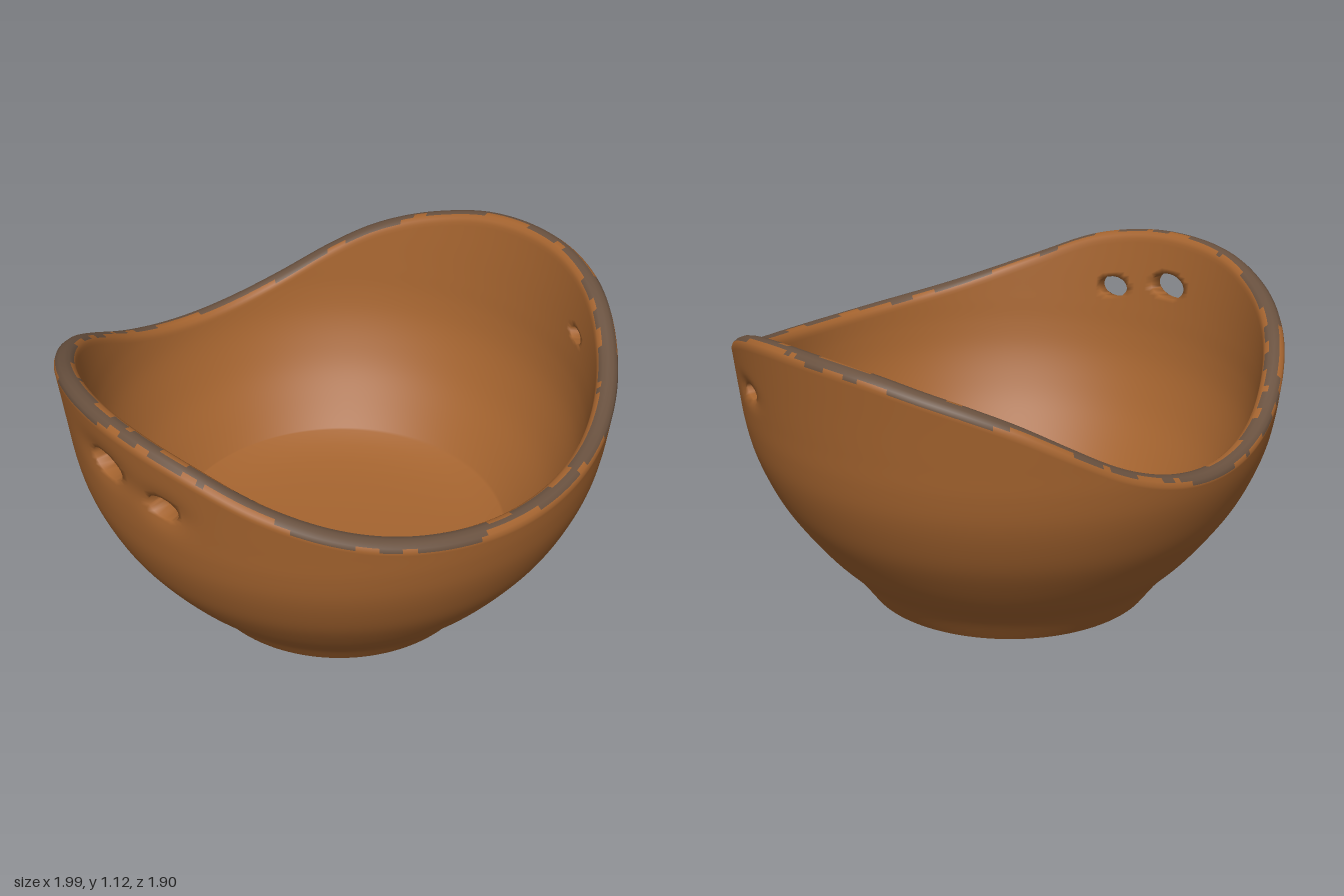
import * as THREE from 'three';

const N = 240;      // steps around
const ROWS = 72;    // steps up the wall
const ARC = 6;      // steps over the rounded rim
const THICK = 0.075;

// Smooth curve through a few [input, output] points
function curve(points) {
  const c = new THREE.CubicInterpolant(points.map(p => p[0]), points.map(p => p[1]), 1);
  return t => c.evaluate(t)[0];
}

// Outer radius by height
const radiusAt = curve([[0, 0.52], [0.1, 0.595], [0.2, 0.69], [0.3, 0.77], [0.4, 0.838], [0.5, 0.888],
  [0.6, 0.925], [0.7, 0.947], [0.8, 0.96], [0.95, 0.978], [1.12, 1.0]]);

// Rim height by front-to-back position: low at front and back, high at the sides
const peakAt = curve([[-1, 0.69], [-0.93, 0.76], [-0.83, 0.86], [-0.72, 0.945], [-0.6, 1.005], [-0.45, 1.055],
  [-0.28, 1.095], [0, 1.115], [0.2, 1.103], [0.4, 1.06], [0.62, 0.965], [0.86, 0.86], [1, 0.81]]);
const wallTop = a => peakAt(Math.cos(a)) - 0.03;

// Openings in the wall: angle, height, half width, half height
const holes = [
  [-0.95, 0.01, 0.91, 0.085, 0.052],
  [-0.92, 0.27, 0.865, 0.065, 0.045],
  [0.9, 0.355, 0.872, 0.052, 0.027],
].map(([x, z, y, w, h]) => ({ a: Math.atan2(x, z), y, w, h }));

function offset(hole, a, y) {
  let da = a - hole.a;
  da = Math.atan2(Math.sin(da), Math.cos(da));
  const u = da * 0.96 / hole.w, v = (y - hole.y) / hole.h;
  return { u, v, d: Math.hypot(u, v) };
}

// Wall surface points; the clay is pinched in around the openings
function outerPoint(a, y) {
  let r = radiusAt(y);
  for (const h of holes) r -= 0.022 * Math.exp(-0.5 * offset(h, a, y).d ** 2);
  return [r, y];
}
function innerPoint(a, y) {
  const v = y / wallTop(a);
  const yi = y + 0.2 * (1 - v) ** 2;
  return [radiusAt(yi) - THICK, yi];
}

function bowlGeometry() {
  const angle = i => i / N * Math.PI * 2 - Math.PI;
  const holeOfCell = (i, j) => {
    const a = angle(i + 0.5), y = wallTop(a) * (j + 0.5) / ROWS;
    return holes.find(h => offset(h, a, y).d < 1);
  };
  const isOpen = [];
  for (let i = 0; i < N; i++) {
    isOpen.push([]);
    for (let j = 0; j < ROWS; j++) isOpen[i].push(holeOfCell(i, j));
  }
  const openAt = (i, j) => isOpen[(i + N) % N][j];

  // Each column runs up the outside, over the rim, down the inside and across the floor
  const floor = [[0.55, 0.172], [0.47, 0.152], [0.36, 0.138], [0.2, 0.13], [0.08, 0.128], [0, 0.128]];
  const positions = [];
  let M = 0;
  for (let i = 0; i < N; i++) {
    const column = [], wall = [];
    const a0 = angle(i);
    for (let j = 0; j <= ROWS; j++) {
      let a = a0, y = wallTop(a0) * j / ROWS;
      const around = [openAt(i - 1, j - 1), openAt(i, j - 1), openAt(i - 1, j), openAt(i, j)];
      const hole = around.find(h => h);
      // Move edge points onto the oval outline
      if (hole && around.some(h => !h)) {
        const o = offset(hole, a, y);
        a = hole.a + o.u / o.d * hole.w / 0.96;
        y = hole.y + o.v / o.d * hole.h;
      }
      wall.push([a, y]);
    }
    for (const [a, y] of wall) column.push([a, ...outerPoint(a, y)]);
    const top = wallTop(a0), R = radiusAt(top);
    for (let k = 1; k < ARC; k++) {
      const t = k / ARC * Math.PI;
      column.push([a0, R - THICK / 2 + Math.cos(t) * THICK / 2, top + Math.sin(t) * 0.03]);
    }
    for (const [a, y] of wall.reverse()) column.push([a, ...innerPoint(a, y)]);
    for (const [r, y] of floor) column.push([a0, r, y]);
    M = column.length;
    for (const [a, r, y] of column) positions.push(r * Math.sin(a), y, r * Math.cos(a));
  }

  const id = (i, j) => ((i + N) % N) * M + j;
  const innerRow = j => 2 * ROWS + ARC - j;
  const clay = [], ash = [];
  const quad = (list, a, b, c, d) => list.push(a, b, c, a, c, d);

  for (let i = 0; i < N; i++) {
    // Uneven grey band along the rim
    const a = angle(i);
    const n1 = Math.sin(a * 5 + 1) + 0.7 * Math.sin(a * 13 + 2) + 0.4 * Math.sin(a * 41);
    const n2 = Math.sin(a * 4 + 4) + 0.6 * Math.sin(a * 17) + 0.4 * Math.sin(a * 37 + 1);
    const from = n1 > 0.7 ? 2 : n1 > -0.5 ? 1 : 0;
    const to = n2 > 0.6 ? 5 : n2 > -0.9 ? 4 : 3;

    for (let j = 0; j < M - 1; j++) {
      const k = j - ROWS;
      const row = j < ROWS ? j : innerRow(j) - 1;
      const open = (k < 0 || k >= ARC) && row >= 0 && openAt(i, row);
      if (open) continue;
      const list = k >= from && k < to ? ash : clay;
      quad(list, id(i, j), id(i + 1, j), id(i + 1, j + 1), id(i, j + 1));
    }

    // Join outside to inside around each opening
    for (let j = 0; j < ROWS; j++) {
      if (!openAt(i, j)) continue;
      const corners = [[i, j], [i + 1, j], [i + 1, j + 1], [i, j + 1]];
      const next = [openAt(i, j - 1), openAt(i + 1, j), openAt(i, j + 1), openAt(i - 1, j)];
      corners.forEach(([p, q], e) => {
        if (next[e]) return;
        const [s, t] = corners[(e + 1) % 4];
        quad(clay, id(p, q), id(s, t), id(s, innerRow(t)), id(p, innerRow(q)));
      });
    }
  }

  const geometry = new THREE.BufferGeometry();
  geometry.setAttribute('position', new THREE.Float32BufferAttribute(positions, 3));
  geometry.setIndex(clay.concat(ash));
  geometry.addGroup(0, clay.length, 0);
  geometry.addGroup(clay.length, ash.length, 1);
  geometry.computeVertexNormals();
  return geometry;
}

export function createModel() {
  const clay = new THREE.MeshStandardMaterial({ color: 0xa5642f });
  clay.name = 'brownClay';
  const ash = new THREE.MeshStandardMaterial({ color: 0x69513f });
  ash.name = 'greyRim';

  const model = new THREE.Group();
  model.name = 'bowl';

  // Wall, rim and floor
  const body = new THREE.Mesh(bowlGeometry(), [clay, ash]);
  body.name = 'bowlBody';
  model.add(body);

  // Underside: centre bump, inner ring, groove and foot ring
  const profile = [[0, 0.055], [0.03, 0.058], [0.08, 0.075], [0.15, 0.08], [0.21, 0.07], [0.26, 0.05],
    [0.29, 0.055], [0.33, 0.085], [0.38, 0.09], [0.42, 0.07], [0.445, 0.025], [0.465, 0.004], [0.485, 0], [0.52, 0]];
  const foot = new THREE.Mesh(
    new THREE.LatheGeometry(profile.map(([r, y]) => new THREE.Vector2(r, y)), 96), clay);
  foot.name = 'footRing';
  model.add(foot);

  return model;
}
